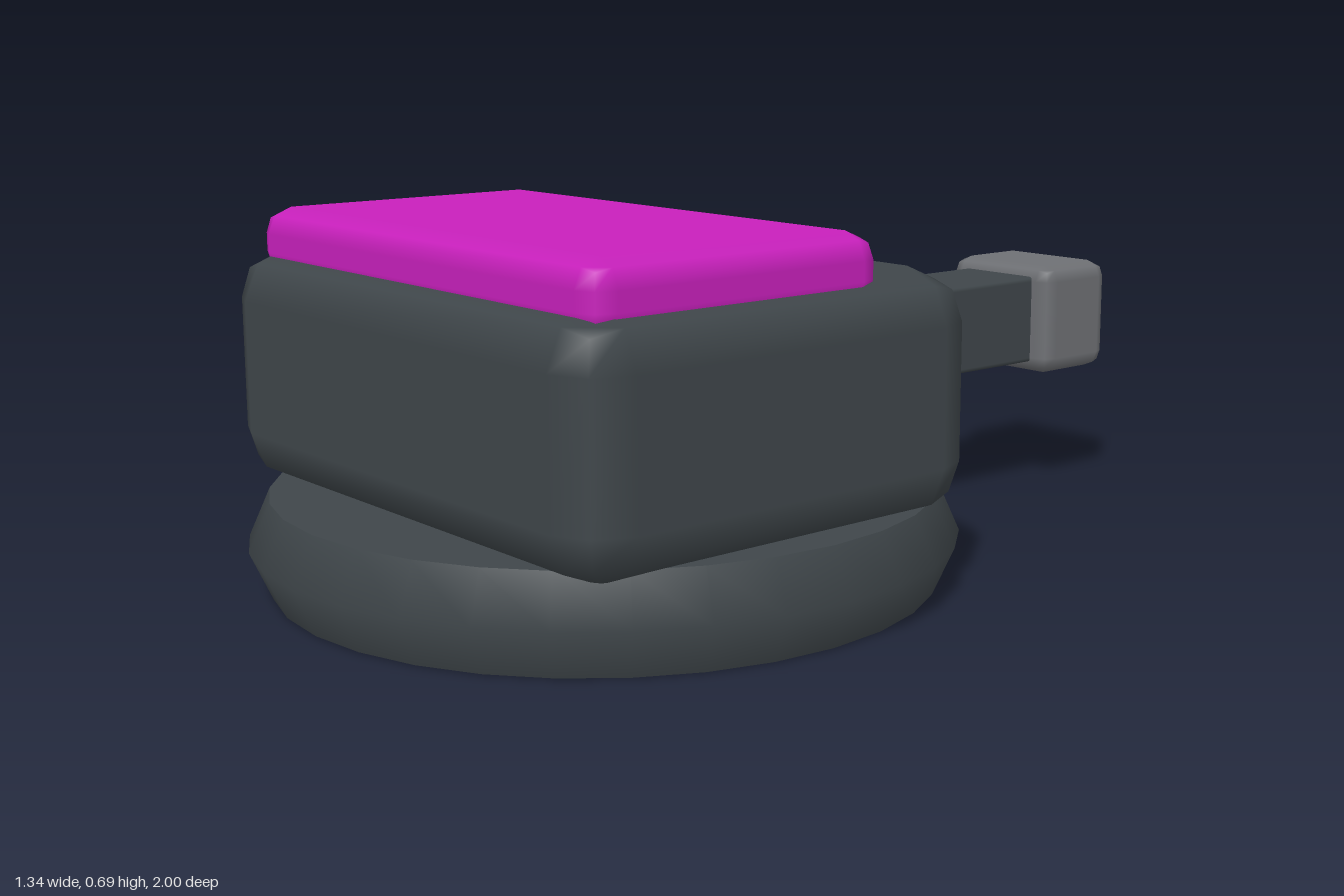
import * as THREE from 'three';
import { RoundedBoxGeometry } from 'three/addons/geometries/RoundedBoxGeometry.js';

const mat = (name, color) => {
  const m = new THREE.MeshStandardMaterial({ color });
  m.name = name;
  return m;
};

export function createModel() {
  const group = new THREE.Group();
  const charcoal = mat('charcoal', 0x3f464a);
  const grey = mat('grey', 0x6e7074);
  const magenta = mat('magenta', 0xc820bc);
  const orange = mat('orange', 0xd48c2c);
  const rubber = mat('rubber', 0x363738);

  const add = (name, geometry, material, x = 0, y = 0, z = 0) => {
    const mesh = new THREE.Mesh(geometry, material);
    mesh.name = name;
    mesh.position.set(x, y, z);
    group.add(mesh);
    return mesh;
  };

  // Rounded block given by its lower and upper limits on each axis
  const block = (name, material, [x0, x1], [y0, y1], [z0, z1], radius, segments = 1) =>
    add(name, new RoundedBoxGeometry(x1 - x0, y1 - y0, z1 - z0, segments, radius), material,
      (x0 + x1) / 2, (y0 + y1) / 2, (z0 + z1) / 2);

  // Round base: bulging rim, flat top, dark sole with a small centre pin
  const baseZ = 0.33;
  const rim = [[0.63, 0], [0.67, 0.09], [0.63, 0.18]].map(([r, y]) => new THREE.Vector2(r, y));
  add('baseRim', new THREE.LatheGeometry(rim, 32), charcoal, 0, 0, baseZ);
  const disc = new THREE.CircleGeometry(0.63, 32);
  add('baseTop', disc, charcoal, 0, 0.18, baseZ).rotation.x = -Math.PI / 2;
  add('baseSole', disc, rubber, 0, 0, baseZ).rotation.x = Math.PI / 2;
  add('basePin', new THREE.CylinderGeometry(0.028, 0.028, 0.008, 16), grey, 0, 0.002, baseZ);

  // Main housing and the coloured pad on top
  block('body', charcoal, [-0.59, 0.59], [0.155, 0.61], [-0.075, 0.815], 0.1);
  block('topPad', magenta, [-0.54, 0.54], [0.55, 0.685], [0.13, 0.76], 0.05);

  // Latch over the back edge, narrowing towards the front
  const latch = block('latch', grey, [-0.165, 0.205], [0.46, 0.63], [-0.1, 0.08], 0.035);
  const p = latch.geometry.attributes.position;
  for (let i = 0; i < p.count; i++) {
    if (p.getZ(i) > 0) p.setX(i, p.getX(i) * 0.89);
  }
  block('latchButton', orange, [-0.115, 0.155], [0.49, 0.583], [-0.136, -0.05], 0.008);

  // Rear bracket, arm and end block
  block('armBracket', grey, [-0.27, 0.27], [0.24, 0.5], [-0.23, 0.02], 0.04);
  block('arm', charcoal, [-0.1, 0.1], [0.285, 0.475], [-0.82, -0.18], 0.01);
  block('armEnd', grey, [-0.145, 0.145], [0.26, 0.5], [-0.98, -0.77], 0.035);
  block('endCap', charcoal, [-0.08, 0.08], [0.33, 0.44], [-1, -0.94], 0.008);

  return group;
}
